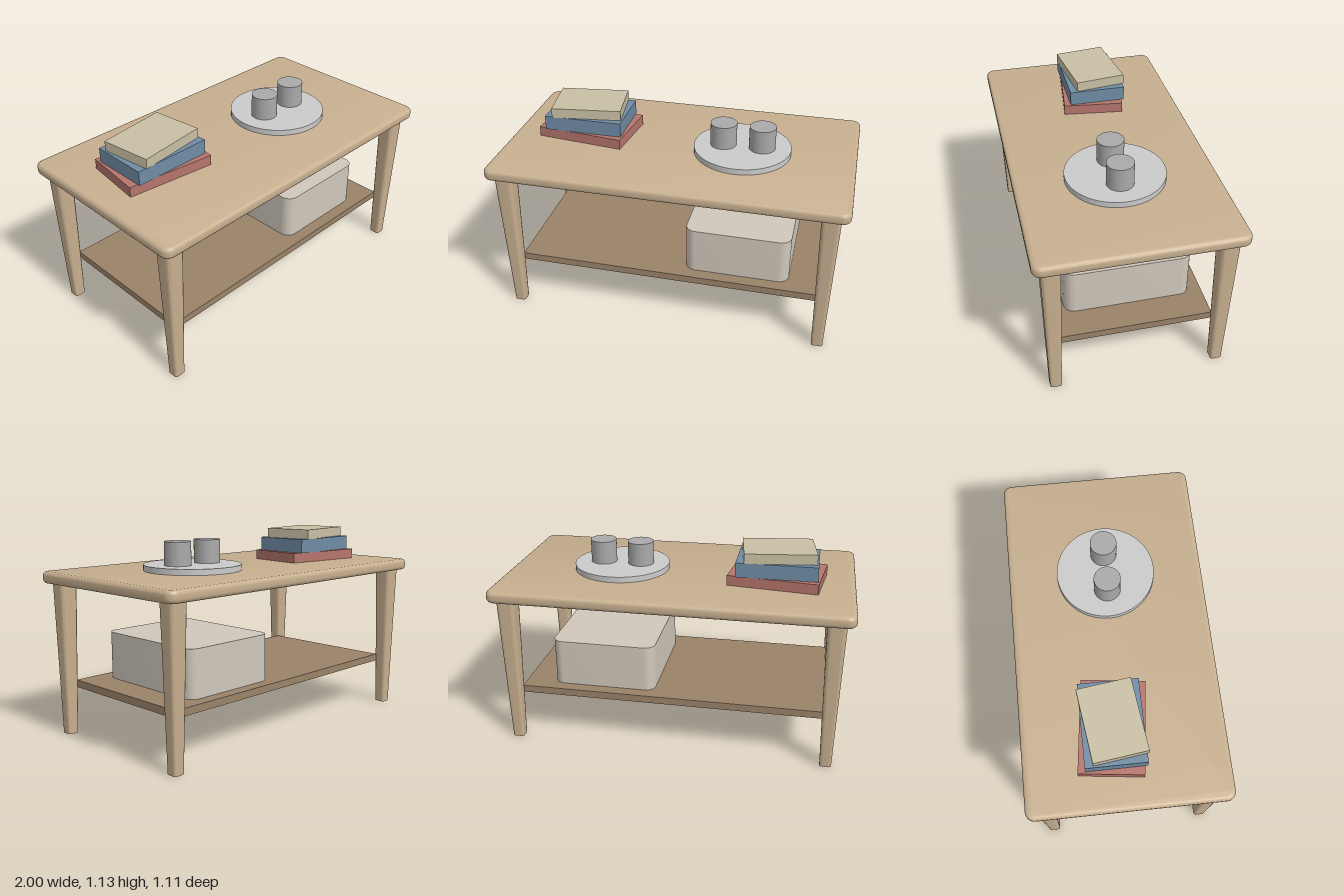
import * as THREE from 'three';
import { toCreasedNormals } from 'three/addons/utils/BufferGeometryUtils.js';

const paint = (color) => new THREE.MeshStandardMaterial({ color });
const wood = paint(0xc8b090);
const darkWood = paint(0x9b8269);
const fabric = paint(0xd0c8bc);
const trayGrey = paint(0xcccccc);
const cupGrey = paint(0xaaaaaa);

// Rounded rectangle extruded upward from y = 0, with an optional rounded edge
function roundedSlab(w, h, d, radius, bevel = 0) {
  const x = w / 2, y = d / 2, r = radius;
  const s = new THREE.Shape();
  s.absarc(x - r, y - r, r, 0, Math.PI / 2);
  s.absarc(-x + r, y - r, r, Math.PI / 2, Math.PI);
  s.absarc(-x + r, -y + r, r, Math.PI, Math.PI * 1.5);
  s.absarc(x - r, -y + r, r, Math.PI * 1.5, Math.PI * 2);
  s.closePath();
  const geo = new THREE.ExtrudeGeometry(s, {
    depth: h - 2 * bevel, curveSegments: 6,
    bevelEnabled: bevel > 0, bevelSize: bevel, bevelThickness: bevel,
    bevelOffset: -bevel, bevelSegments: 4,
  });
  geo.rotateX(-Math.PI / 2).translate(0, bevel, 0);
  return geo;
}

// Square leg with softened corners, narrowing toward the foot
function taperedLeg(height, topWidth, footWidth) {
  const geo = roundedSlab(1, height, 1, 0.22);
  const p = geo.attributes.position;
  for (let i = 0; i < p.count; i++) {
    const w = THREE.MathUtils.lerp(footWidth, topWidth, p.getY(i) / height);
    p.setX(i, p.getX(i) * w);
    p.setZ(i, p.getZ(i) * w);
  }
  return geo;
}

export function createModel() {
  const model = new THREE.Group();
  model.name = 'coffeeTable';

  const add = (name, geometry, material, x, y, z, turn = 0) => {
    const mesh = new THREE.Mesh(geometry, material);
    mesh.name = name;
    mesh.position.set(x, y, z);
    mesh.rotation.y = turn;
    model.add(mesh);
  };

  // Table top with a rounded rim
  add('tableTop', toCreasedNormals(roundedSlab(2, 0.066, 1.106, 0.05, 0.022), 0.7), wood, 0, 0.868, 0);

  // Four legs
  const leg = toCreasedNormals(taperedLeg(0.872, 0.105, 0.065), 0.7);
  for (const [side, x] of [['Left', 0.902], ['Right', -0.902]]) {
    for (const [end, z] of [['front', 0.457], ['back', -0.457]]) {
      add(`${end}${side}Leg`, leg, wood, x, 0, z);
    }
  }

  // Lower shelf with a storage basket
  add('shelf', new THREE.BoxGeometry(1.74, 0.042, 0.85), darkWood, 0, 0.29, 0);
  add('storageBasket', toCreasedNormals(roundedSlab(0.6, 0.269, 0.71, 0.06), 0.7), fabric, 0.4, 0.311, 0);

  // Stack of three books: width, height, depth, base height, turn, colour
  const books = [
    ['bottomBook', 0.51, 0.058, 0.35, 0.934, -0.12, 0xb5756c],
    ['middleBook', 0.453, 0.082, 0.328, 0.992, 0, 0x708ca5],
    ['topBook', 0.4, 0.057, 0.295, 1.074, 0.13, 0xc9c0a4],
  ];
  for (const [name, w, h, d, base, turn, color] of books) {
    add(name, new THREE.BoxGeometry(w, h, d), paint(color), -0.562, base + h / 2, -0.057, turn);
  }

  // Round tray with two cups
  add('tray', new THREE.CylinderGeometry(0.277, 0.277, 0.033, 64), trayGrey, 0.356, 0.9505, 0);
  const cup = new THREE.CylinderGeometry(0.075, 0.075, 0.134, 40);
  add('rightCup', cup, cupGrey, 0.245, 1.033, 0);
  add('leftCup', cup, cupGrey, 0.467, 1.033, 0);

  return model;
}
